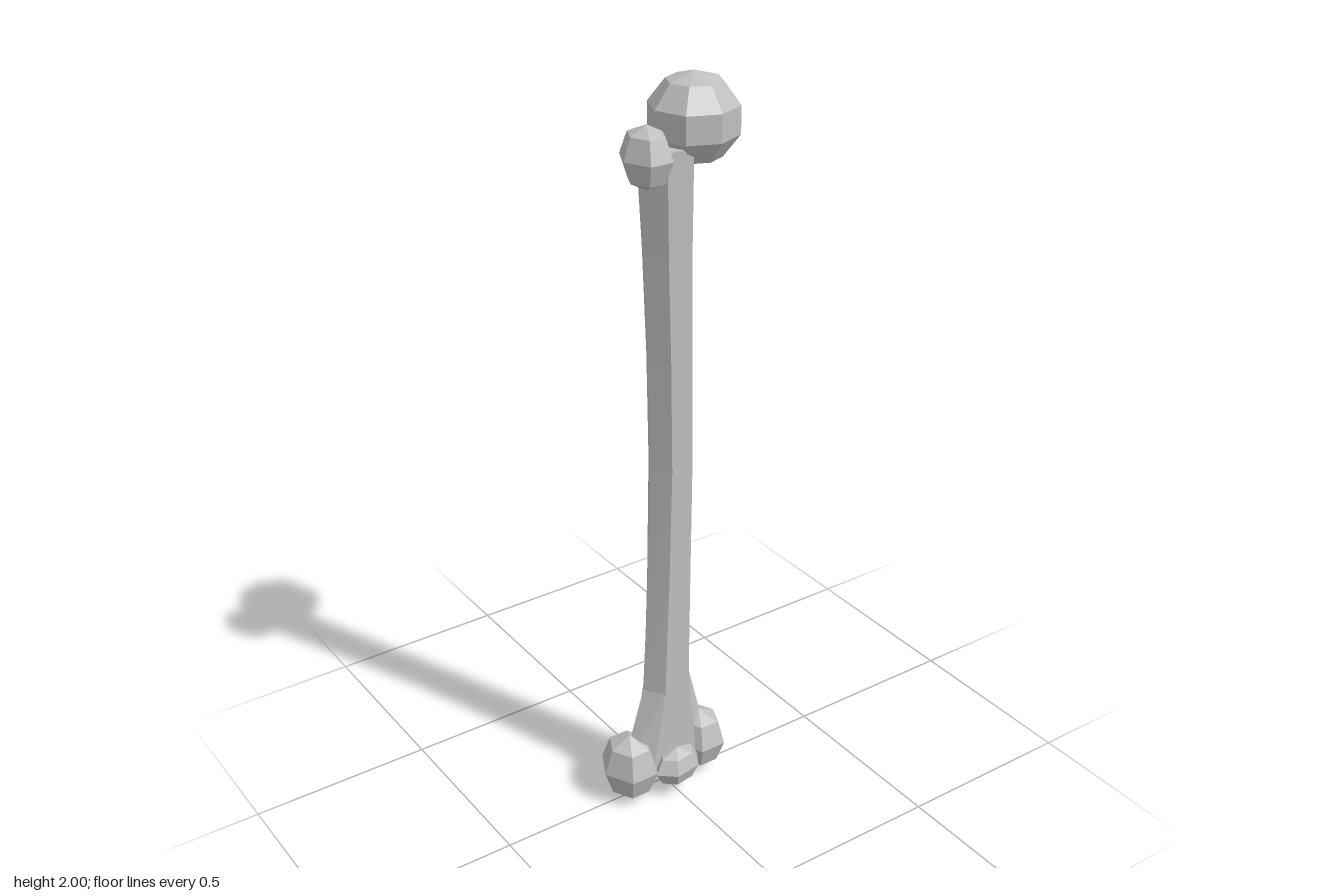
import * as THREE from 'three';

export function createModel() {
  const group = new THREE.Group();
  const bone = new THREE.MeshStandardMaterial({ color: 0xbfbfbf, flatShading: true });
  bone.name = 'bone grey';

  function add(name, geometry) {
    const flat = geometry.toNonIndexed();
    flat.computeVertexNormals();
    const mesh = new THREE.Mesh(flat, bone);
    mesh.name = name;
    group.add(mesh);
    return mesh;
  }

  // Faceted knob with separate radii along each axis
  function knob(name, position, radii, sides, rows) {
    const mesh = add(name, new THREE.SphereGeometry(1, sides, rows).scale(...radii));
    mesh.position.set(...position);
    return mesh;
  }

  // Six-sided shaft, slightly bowed: [y, centre x, radius x, half depth]
  const rings = [
    [1.84, 0.0, 0.074, 0.066],
    [1.58, 0.007, 0.068, 0.057],
    [1.3, 0.014, 0.063, 0.054],
    [1.0, 0.018, 0.062, 0.053],
    [0.65, 0.013, 0.067, 0.051],
    [0.33, 0.006, 0.076, 0.05],
    [0.06, 0.0, 0.15, 0.05],
  ];
  const last = rings.length - 1;
  const shaft = new THREE.CylinderGeometry(1, 1, 1, 6, last, false, Math.PI / 2);
  const p = shaft.attributes.position;
  for (let i = 0; i < p.count; i++) {
    const [y, cx, rx, depth] = rings[Math.round((0.5 - p.getY(i)) * last)];
    p.setXYZ(i, cx + p.getX(i) * rx, y, (p.getZ(i) / Math.sin(Math.PI / 3)) * depth);
  }
  add('shaft', shaft);

  // Upper end: round head and the smaller outer bump
  knob('head', [0.083, 1.888, 0], [0.1162, 0.112, 0.1162], 8, 5);
  knob('upperBump', [-0.07, 1.828, 0.028], [0.062, 0.078, 0.0756], 6, 4);

  // Lower end: two rounded joints and the front cap between them
  knob('rightJoint', [-0.116, 0.1, 0], [0.079, 0.098, 0.0895], 6, 4);
  knob('leftJoint', [0.114, 0.103, 0], [0.074, 0.091, 0.085], 6, 4);
  const cap = knob('frontCap', [0, 0.09, 0.06], [0.077, 0.056, 0.052], 6, 4);
  cap.rotation.y = 0.16;

  return group;
}
